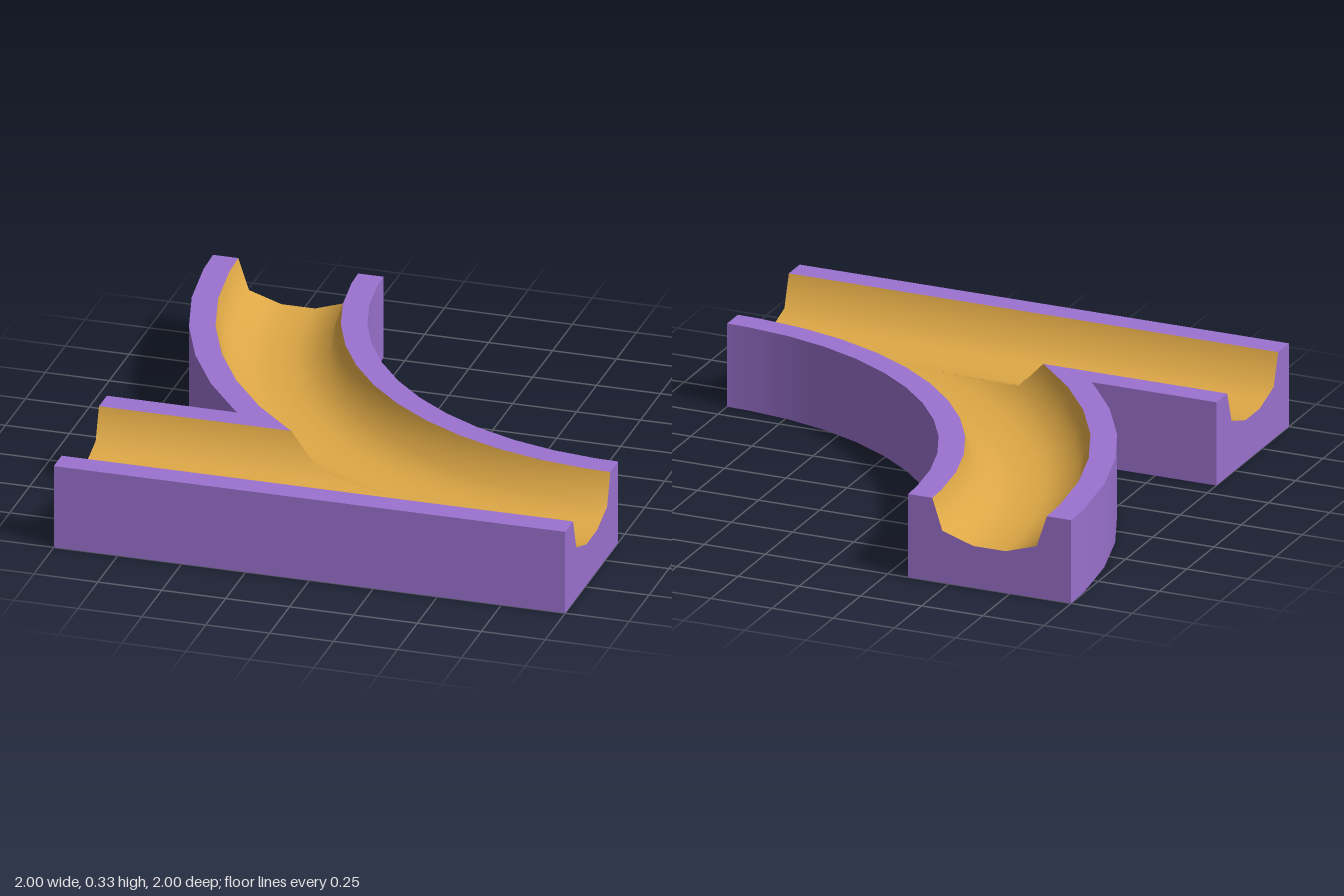
import * as THREE from 'three';

const H = 1 / 3;          // block height
const W = 1 / 3;          // half width of the track
const G = 0.234;          // half width of the groove
const MID = 2 / 3;        // centre line of the straight track (z)
const R = 5 / 3;          // centre line radius of the bend
const CX = 1, CZ = -1;    // centre of the bend
const GROOVE = [[-G, H], [-0.193, 0.208], [-0.066, 0.167], [0.066, 0.167], [0.193, 0.208], [G, H]];

// Angles of the bend's cross-sections: half steps at both ends
const STEP = Math.PI / 24;
const ANGLES = [0];
for (let i = 0; i < 12; i++) ANGLES.push((i + 0.5) * STEP);
ANGLES.push(Math.PI / 2);

// Groove height at a sideways offset; the sides go on rising past the rim
function grooveHeight(d) {
  const a = Math.abs(d);
  if (a < 0.066) return 0.167;
  if (a < 0.193) return 0.167 + (a - 0.066) * 0.041 / 0.127;
  return 0.208 + (a - 0.193) * (H - 0.208) / (G - 0.193);
}
const straightHeight = (p) => grooveHeight(p.z - MID);
function bendHeight(p) {
  const x = CX - p.x, z = p.z - CZ;
  const angle = Math.min(Math.max(Math.atan2(z, x), 0), Math.PI / 2);
  let i = 0;
  while (i < ANGLES.length - 2 && angle > ANGLES[i + 1]) i++;
  const mid = (ANGLES[i] + ANGLES[i + 1]) / 2, half = (ANGLES[i + 1] - ANGLES[i]) / 2;
  return grooveHeight(Math.hypot(x, z) * Math.cos(angle - mid) / Math.cos(half) - R);
}

// Paths give a point and the sideways direction
function straightPath(u, d) {
  return { p: new THREE.Vector3(u, 0, MID + d), side: new THREE.Vector3(0, 0, 1) };
}
function bendPath(u, d) {
  const i = Math.min(Math.floor(u), ANGLES.length - 2);
  const dir = (a) => new THREE.Vector3(-Math.cos(a), 0, Math.sin(a));
  const side = dir(ANGLES[i]).lerp(dir(ANGLES[i + 1]), u - i);
  const p = side.clone().multiplyScalar(R + d).add(new THREE.Vector3(CX, 0, CZ));
  return { p, side: side.normalize() };
}

// Section points [d, y, normalD, normalY], smooth along the line and subdivided
function section(points, flip, cuts) {
  const facets = points.slice(1).map((b, i) => {
    const a = points[i];
    const n = new THREE.Vector2(a[1] - b[1], b[0] - a[0]).normalize();
    return flip ? n.negate() : n;
  });
  const normals = points.map((_, i) =>
    (facets[i - 1] ?? facets[i]).clone().add(facets[i] ?? facets[i - 1]).normalize());
  const out = [];
  for (let i = 0; i < points.length - 1; i++) {
    for (let k = i ? 1 : 0; k <= cuts; k++) {
      const t = k / cuts, n = normals[i].clone().lerp(normals[i + 1], t).normalize();
      out.push([
        THREE.MathUtils.lerp(points[i][0], points[i + 1][0], t),
        THREE.MathUtils.lerp(points[i][1], points[i + 1][1], t), n.x, n.y]);
    }
  }
  return out;
}

// Keep the part of a polygon where field >= 0
function clip(poly, field) {
  const out = [];
  poly.forEach((a, i) => {
    const b = poly[(i + 1) % poly.length], fa = field(a.p), fb = field(b.p);
    if (fa >= 0) out.push(a);
    if ((fa >= 0) !== (fb >= 0)) {
      const t = fa / (fa - fb);
      out.push({ p: a.p.clone().lerp(b.p, t), n: a.n.clone().lerp(b.n, t).normalize() });
    }
  });
  return out;
}

// Sweep a section along a path, trimmed by a field
function sweep(path, from, to, steps, sec, field) {
  const rows = [];
  for (let i = 0; i <= steps; i++) {
    const u = from + (to - from) * i / steps;
    rows.push(sec.map(([d, y, nd, ny]) => {
      const { p, side } = path(u, d);
      p.y = y;
      return { p, n: side.multiplyScalar(nd).setY(ny) };
    }));
  }
  const pos = [], nor = [];
  const addTriangle = (tri) => {
    const poly = field ? clip(tri, field) : tri;
    for (let k = 1; k < poly.length - 1; k++) {
      let [a, b, c] = [poly[0], poly[k], poly[k + 1]];
      const face = b.p.clone().sub(a.p).cross(c.p.clone().sub(a.p));
      if (face.dot(a.n) < 0) [b, c] = [c, b];
      for (const v of [a, b, c]) {
        pos.push(v.p.x, v.p.y, v.p.z);
        nor.push(v.n.x, v.n.y, v.n.z);
      }
    }
  };
  for (let i = 0; i < steps; i++) {
    for (let j = 0; j < sec.length - 1; j++) {
      const a = rows[i][j], b = rows[i + 1][j], c = rows[i + 1][j + 1], d = rows[i][j + 1];
      addTriangle([a, b, c]);
      addTriangle([a, c, d]);
    }
  }
  const geo = new THREE.BufferGeometry();
  geo.setAttribute('position', new THREE.Float32BufferAttribute(pos, 3));
  geo.setAttribute('normal', new THREE.Float32BufferAttribute(nor, 3));
  return geo;
}

export function createModel() {
  const purple = new THREE.MeshStandardMaterial({ color: 0x9b72cf });
  purple.name = 'purple body';
  const gold = new THREE.MeshStandardMaterial({ color: 0xdea846 });
  gold.name = 'golden groove';

  const model = new THREE.Group();
  model.name = 'trackSwitch';
  const add = (name, geo, mat) => {
    const mesh = new THREE.Mesh(geo, mat);
    mesh.name = name;
    model.add(mesh);
    return mesh;
  };
  const straight = (sec, field, to = 1) => sweep(straightPath, -1, to, 60, sec, field);
  const bend = (sec, field) => sweep(bendPath, 0, 13, 78, sec, field);
  const behindStraight = (p) => MID - W - p.z;

  // Grooves, each kept where it is the deeper one
  const groove = section(GROOVE, false, 5);
  add('straightGroove', straight(groove, (p) => bendHeight(p) - p.y + 2e-4), gold);
  add('curvedGroove', bend(groove, (p) => straightHeight(p) - p.y - 1e-4), gold);

  // Rims and side walls
  for (const s of [-1, 1]) {
    const label = s < 0 ? 'Inner' : 'Outer';
    const rim = section(s < 0 ? [[-W, H], [-G, H]] : [[G, H], [W, H]], false, 4);
    const wall = section([[s * W, 0], [s * W, H]], s > 0, 1);
    add('straightRim' + label, straight(rim, (p) => bendHeight(p) - H + 1e-4), purple);
    add('curvedRim' + label, bend(rim, behindStraight), purple);
    // The inner straight wall stops where the bend joins it
    const end = s < 0 ? CX - Math.sqrt((R + W) ** 2 - (MID - W - CZ) ** 2) : 1;
    add('straightWall' + label, straight(wall, null, end), purple);
    add('curvedWall' + label, bend(wall, behindStraight), purple);
  }

  // Underside
  const base = section([[-W, 0], [W, 0]], true, 1);
  add('straightBase', straight(base), purple);
  add('curvedBase', bend(base, behindStraight), purple);

  // End faces with the groove cut out
  const outline = new THREE.Shape(
    [[W, 0], [W, H], ...GROOVE.slice().reverse(), [-W, H], [-W, 0]].map(([x, y]) => new THREE.Vector2(x, y)));
  const ends = [
    ['rightEnd', -1, MID, -Math.PI / 2], ['leftEnd', 1, MID, Math.PI / 2], ['curvedEnd', CX - R, CZ, Math.PI]];
  for (const [name, x, z, turn] of ends) {
    const cap = add(name, new THREE.ShapeGeometry(outline), purple);
    cap.position.set(x, 0, z);
    cap.rotation.y = turn;
  }
  return model;
}
